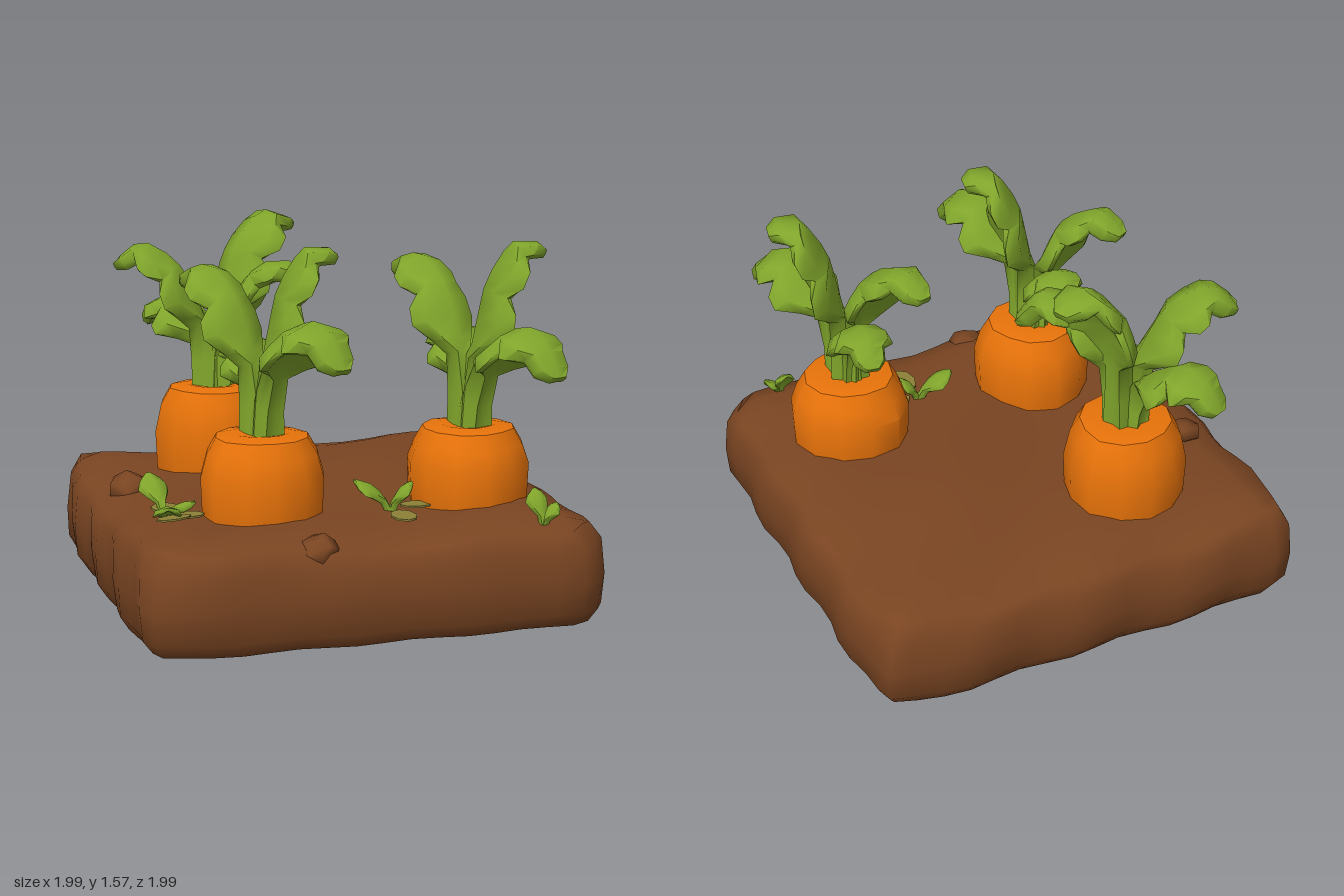
import * as THREE from 'three';
import { mergeVertices, toCreasedNormals } from 'three/addons/utils/BufferGeometryUtils.js';

const mat = (name, color) => {
  const m = new THREE.MeshStandardMaterial({ color });
  m.name = name;
  return m;
};

// Gently rolling ground height
const soilTop = (x, z) => {
  const edge = Math.max(Math.abs(x), Math.abs(z));
  const drop = 0.05 * THREE.MathUtils.smoothstep(edge, 0.75, 0.97);
  return 0.455 + 0.016 * Math.sin(3.3 * x + 1.2) * Math.cos(2.9 * z + 0.4)
    + 0.012 * Math.sin(8 * x + 5 * z) + 0.03 * Math.exp(-((x - 0.45) ** 2 + (z + 0.25) ** 2) * 6) - drop;
};

const smooth = (geo, angle) => {
  geo.deleteAttribute('uv');
  geo.deleteAttribute('normal');
  return toCreasedNormals(mergeVertices(geo, 1e-4), angle);
};

// Slab with bulging, wavy sides and rounded corners
function soilGeometry() {
  const geo = new THREE.BoxGeometry(2, 4, 2, 16, 4, 16);
  const p = geo.attributes.position;
  const heights = [0.012, 0.07, 0.2, 0.35, 0];
  const spread = [0.935, 0.972, 0.982, 0.972, 0.935];
  for (let i = 0; i < p.count; i++) {
    const u = p.getX(i), w = p.getZ(i), k = Math.round(p.getY(i) + 2);
    const corner = 1 - 0.055 * u ** 10 * w ** 10;
    const x = u * spread[k] * corner + 0.014 * u ** 6 * Math.sin(13 * w + u * 2 + k * 0.5);
    const z = w * spread[k] * corner + 0.014 * w ** 6 * Math.sin(12 * u + w * 3 + k * 0.4);
    p.setXYZ(i, x, k === 4 ? soilTop(x, z) : heights[k], z);
  }
  return smooth(geo, 1.2);
}

// Rounded root shoulder with uneven sides
function carrotGeometry(top, seed) {
  const profile = [[0.24, 0.34], [0.256, 0.46], [0.262, 0.61], [0.235, top - 0.085], [0.195, top - 0.015], [0.12, top], [0, top - 0.02]];
  const geo = new THREE.LatheGeometry(profile.map(([r, y]) => new THREE.Vector2(r, y)), 12);
  const p = geo.attributes.position;
  for (let i = 0; i < p.count; i++) {
    const a = Math.atan2(p.getZ(i), p.getX(i));
    const s = 1 + 0.03 * Math.sin(3 * a + seed) + 0.015 * Math.cos(5 * a - seed);
    p.setX(i, p.getX(i) * s);
    p.setZ(i, p.getZ(i) * s);
  }
  return smooth(geo, 0.8);
}

// Lobed leaf on a thick stalk: position along spine, half-width, half-thickness (as fractions)
const leafStations = [[0, 0.34, 1.7], [0.18, 0.28, 1.5], [0.35, 0.25, 1.2], [0.41, 0.6, 1.1], [0.5, 1, 1], [0.59, 0.95, 1], [0.65, 0.66, 1.1],
  [0.73, 0.92, 1], [0.82, 0.85, 1], [0.87, 0.54, 1], [0.95, 0.48, 0.9], [1, 0.24, 0.5]];
const sproutStations = [[0, 0.25, 1], [0.3, 0.3, 1], [0.5, 0.8, 1], [0.7, 1, 1], [0.88, 0.7, 0.8], [1, 0.15, 0.4]];
const ring = [[-1, 0], [-0.8, 1], [0, 0.8], [0.8, 1], [1, 0], [0.8, -1], [0, -0.8], [-0.8, -1]];

function leafGeometry(points, width, thick, stations) {
  const curve = new THREE.CatmullRomCurve3(points);
  const up = new THREE.Vector3(0, 1, 0);
  const dir = points[points.length - 1].clone().sub(points[0]).setY(0).normalize();
  const side = dir.clone().cross(up);
  const pos = [], idx = [], n = ring.length;
  stations.forEach(([t, w, h], i) => {
    const c = curve.getPointAt(t);
    const normal = side.clone().cross(curve.getTangentAt(t)).normalize();
    ring.forEach(([s, v]) => {
      // Side lobes fold down like a tent
      const sag = 0.75 * Math.max(0, w - 0.3) * width * s * s;
      const q = c.clone().addScaledVector(side, s * w * width).addScaledVector(normal, v * h * thick - sag);
      pos.push(q.x, q.y, q.z);
    });
    if (i === 0) return;
    for (let j = 0; j < n; j++) {
      const a = (i - 1) * n + j, b = (i - 1) * n + (j + 1) % n;
      idx.push(a, b, b + n, a, b + n, a + n);
    }
  });
  const tip = pos.length / 3, last = tip - n;
  pos.push(...curve.getPointAt(1).toArray());
  for (let j = 0; j < n; j++) idx.push(last + j, last + (j + 1) % n, tip);
  const geo = new THREE.BufferGeometry();
  geo.setAttribute('position', new THREE.Float32BufferAttribute(pos, 3));
  geo.setIndex(idx);
  return toCreasedNormals(geo, 1.1);
}

export function createModel() {
  const model = new THREE.Group();
  model.name = 'carrotPatch';
  const soil = mat('soil brown', 0x7a4522);
  const orange = mat('carrot orange', 0xe8730a);
  const green = mat('leaf green', 0x80a52b);
  const olive = mat('ground leaf olive', 0x8c8138);

  const add = (parent, name, geo, material) => {
    const mesh = new THREE.Mesh(geo, material);
    mesh.name = name;
    parent.add(mesh);
    return mesh;
  };

  add(model, 'soilBlock', soilGeometry(), soil);

  // Clods of earth
  [[-0.27, 0.4, 0.89, 0.09], [-0.8, 0.43, -0.23, 0.09]].forEach(([x, y, z, r], i) => {
    const clod = add(model, 'soilClod', smooth(new THREE.DodecahedronGeometry(r), 1.2), soil);
    clod.position.set(x, y, z);
    clod.rotation.set(0.3, 0.6 * i, 0.3);
    clod.scale.y = 0.7;
  });

  // Leaves: reach in x, reach in z, peak height, tip height, half-width
  const rightLeaves = [[0.3, 0.07, 1.54, 1.5, 0.2], [0.19, 0.52, 1.27, 1.12, 0.18],
    [-0.22, -0.4, 1.42, 1.36, 0.15], [0, -0.37, 1.13, 1.04, 0.13]];
  const leftLeaves = [[0.3, 0.07, 1.53, 1.49, 0.2], [0.19, 0.52, 1.2, 1.04, 0.18],
    [-0.15, -0.5, 1.42, 1.36, 0.15], [0.06, -0.43, 1.13, 1.04, 0.14]];
  const backLeaves = [[0.39, -0.15, 1.55, 1.5, 0.18], [0.37, 0.27, 1.37, 1.24, 0.12],
    [-0.4, -0.17, 1.42, 1.34, 0.17], [-0.19, -0.43, 1.16, 1.04, 0.16]];
  const plants = [['frontRightCarrot', -0.37, 0.41, 0.79, rightLeaves], ['frontLeftCarrot', 0.535, 0.4, 0.77, leftLeaves],
    ['backCarrot', -0.35, -0.5, 0.82, backLeaves]];
  plants.forEach(([name, x, z, top, leaves], i) => {
    const plant = new THREE.Group();
    plant.name = name;
    plant.position.set(x, 0, z);
    add(plant, 'root', carrotGeometry(top, i * 1.9), orange);
    for (const [dx, dz, peak, tip, width] of leaves) {
      const base = top - 0.06;
      const at = (f, y) => new THREE.Vector3(dx * f, y, dz * f);
      const rise = f => base + (peak - base) * f;
      const spine = [at(0.06, base), at(0.14, rise(0.48)), at(0.38, rise(0.85)), at(0.72, peak), at(1, tip)];
      add(plant, 'leaf', leafGeometry(spine, width, 0.036, leafStations), green);
    }
    model.add(plant);
  });

  // Small sprouts: base x, z, then leaf tips (x, y, z, half-width)
  const sprouts = [
    [-0.78, 0.41, [[-0.81, 0.6, 0.23, 0.065], [-0.8, 0.53, 0.58, 0.06], [-0.66, 0.52, 0.45, 0.035]]],
    [0.16, 0.51, [[0.01, 0.57, 0.47, 0.065], [0.25, 0.56, 0.52, 0.05]]],
    [0.7, 0.86, [[0.69, 0.56, 0.77, 0.05], [0.77, 0.51, 0.84, 0.04]]],
  ];
  for (const [x, z, tips] of sprouts) {
    const sprout = new THREE.Group();
    sprout.name = 'sprout';
    const y = soilTop(x, z) - 0.02;
    for (const [tx, ty, tz, w] of tips) {
      const spine = [new THREE.Vector3(x, y, z), new THREE.Vector3(x + (tx - x) * 0.45, y + (ty - y) * 0.75, z + (tz - z) * 0.45),
        new THREE.Vector3(tx, ty, tz)];
      add(sprout, 'sproutLeaf', leafGeometry(spine, w, 0.014, sproutStations), green);
    }
    model.add(sprout);
  }

  // Flat leaves lying on the soil: x, z, half-length, half-width, turn
  [[-0.71, 0.49, 0.08, 0.05, 0], [-0.77, 0.36, 0.07, 0.055, 1.3], [-0.77, 0.54, 0.08, 0.035, 0.3],
    [0.27, 0.51, 0.07, 0.05, 0], [0.17, 0.65, 0.085, 0.055, 1.5]].forEach(([x, z, l, w, turn]) => {
    const leaf = add(model, 'groundLeaf', new THREE.CylinderGeometry(1, 1, 0.008, 8), olive);
    leaf.scale.set(l, 1, w);
    leaf.rotation.y = turn;
    leaf.position.set(x, soilTop(x, z) + 0.02, z);
  });

  return model;
}
